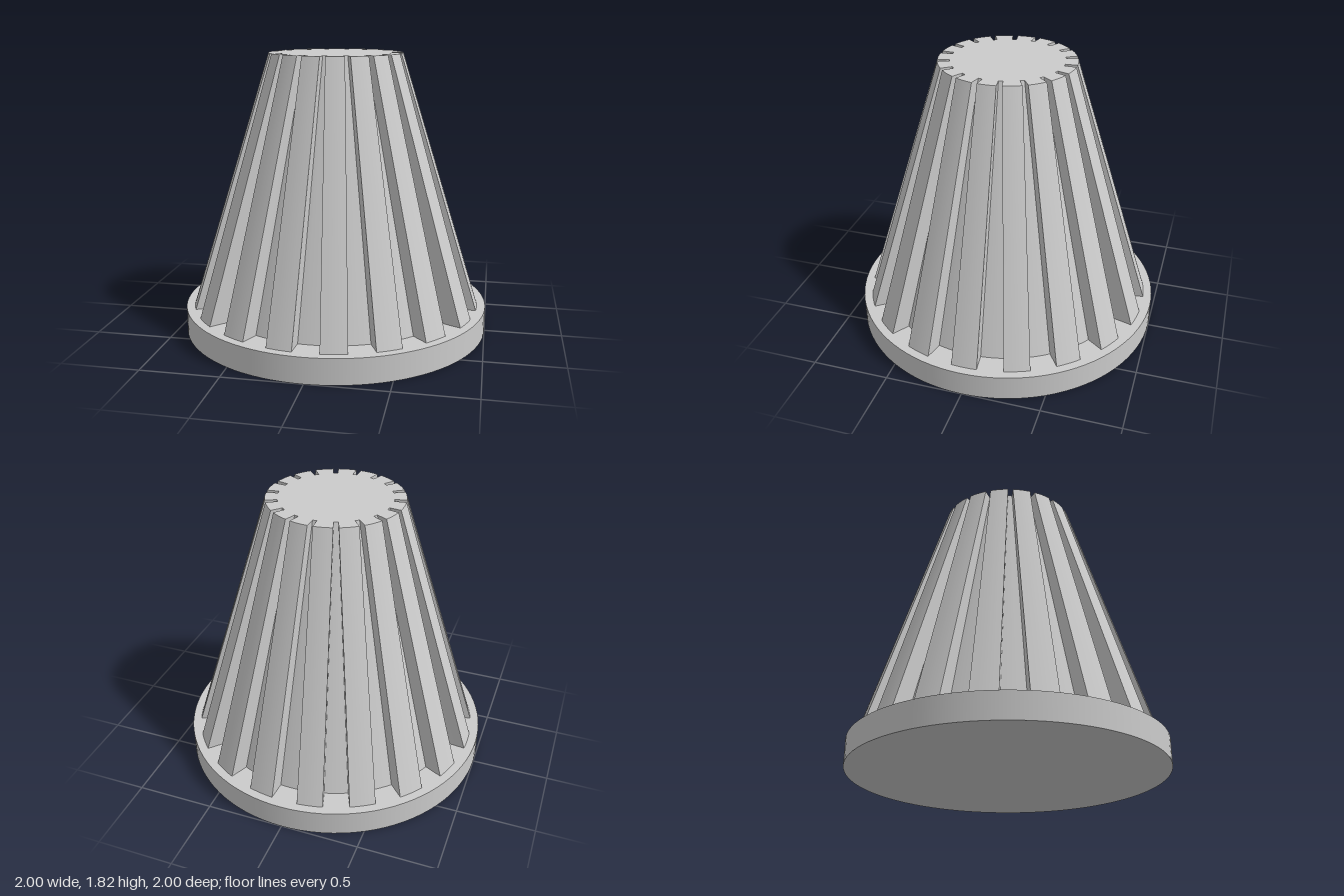
import * as THREE from 'three';
import { toCreasedNormals } from 'three/addons/utils/BufferGeometryUtils.js';

const TEETH = 18, STEPS = 4;
const BASE_H = 0.165, TOP = 1.815;

// Ring of a grooved cone: each groove has an outer and an inner half width.
function ring(y, outerR, innerR, outerHalf, innerHalf) {
  const points = [];
  const pitch = (Math.PI * 2) / TEETH;
  const aOut = pitch / 2 - Math.asin(outerHalf / outerR);
  const aIn = Math.asin(innerHalf / innerR);
  const arc = (centre, half, r) => {
    for (let i = 0; i <= STEPS; i++) {
      const a = centre + half * ((2 * i) / STEPS - 1);
      points.push([r * Math.cos(a), y, r * Math.sin(a)]);
    }
  };
  for (let k = 0; k < TEETH; k++) {
    arc(k * pitch, aOut, outerR); // tooth face
    arc((k + 0.5) * pitch, aIn, innerR); // groove floor
  }
  return points;
}

// Tapered body: walls between the two rings plus a flat top.
function groovedCone() {
  const low = ring(BASE_H, 0.945, 0.823, 0.083, 0.075);
  const high = ring(TOP, 0.43, 0.355, 0.0165, 0.0135);
  const centre = [0, TOP, 0];
  const pos = [];
  low.forEach((a, i) => {
    const j = (i + 1) % low.length;
    pos.push(...a, ...high[i], ...high[j], ...a, ...high[j], ...low[j]);
    pos.push(...centre, ...high[j], ...high[i]);
  });
  const geometry = new THREE.BufferGeometry();
  geometry.setAttribute('position', new THREE.Float32BufferAttribute(pos, 3));
  return toCreasedNormals(geometry, 0.4);
}

export function createModel() {
  const group = new THREE.Group();
  const material = new THREE.MeshStandardMaterial({ color: 0xcccccc });

  // Round foot plate
  const base = new THREE.Mesh(new THREE.CylinderGeometry(1, 1, BASE_H, 96), material);
  base.name = 'base';
  base.position.y = BASE_H / 2;
  group.add(base);

  // Body with grooves narrowing toward the top
  const body = new THREE.Mesh(groovedCone(), material);
  body.name = 'groovedBody';
  group.add(body);

  return group;
}
